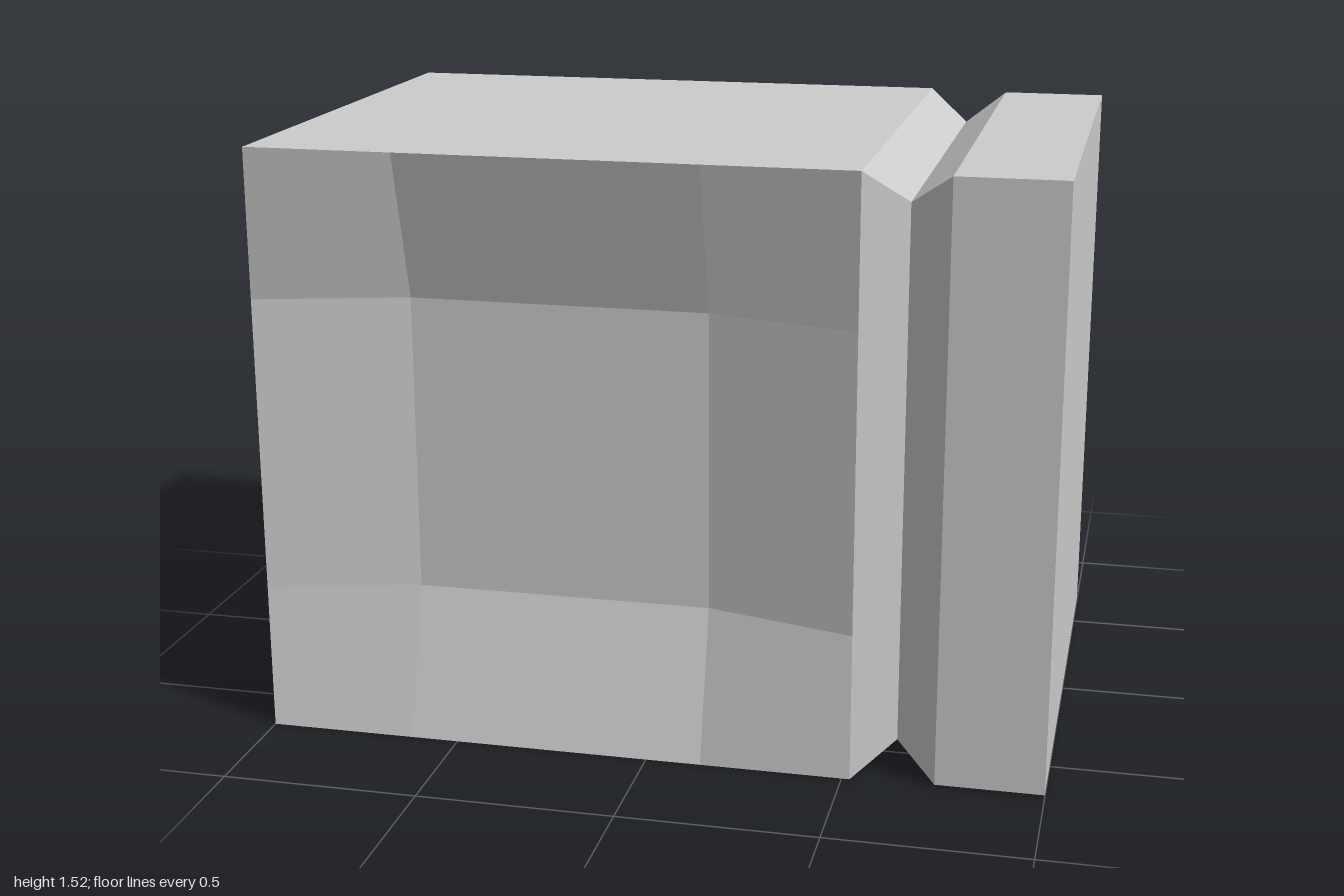
import * as THREE from 'three';

const material = new THREE.MeshStandardMaterial({ color: 0xcccccc });

// Flat-shaded quads, each a list of four corners in counter-clockwise order
function quadMesh(name, quads) {
  const positions = [], normals = [];
  for (const [a, b, c, d] of quads) {
    const n = c.clone().sub(a).cross(d.clone().sub(b)).normalize();
    for (const p of [a, b, c, a, c, d]) {
      positions.push(p.x, p.y, p.z);
      normals.push(n.x, n.y, n.z);
    }
  }
  const geometry = new THREE.BufferGeometry();
  geometry.setAttribute('position', new THREE.Float32BufferAttribute(positions, 3));
  geometry.setAttribute('normal', new THREE.Float32BufferAttribute(normals, 3));
  const mesh = new THREE.Mesh(geometry, material);
  mesh.name = name;
  return mesh;
}

// Rectangular cross-section at x, counter-clockwise seen from +x
function ring({ x, y0, y1, z0, z1 }) {
  return [[y0, z1], [y0, z0], [y1, z0], [y1, z1]].map(([y, z]) => new THREE.Vector3(x, y, z));
}

// Side walls between two cross-sections: bottom, back, top, front
function walls(a, b) {
  return a.map((p, i) => {
    const j = (i + 1) % 4;
    return [p, a[j], b[j], b[i]];
  });
}

export function createModel() {
  const group = new THREE.Group();
  group.name = 'notchedBlock';

  const sections = [
    { x: -1, y0: 0, y1: 1.525, z0: -0.68, z1: 0.68 },
    { x: 0.52, y0: 0, y1: 1.525, z0: -0.68, z1: 0.68 },
    { x: 0.627, y0: 0.085, y1: 1.443, z0: -0.61, z1: 0.605 },
    { x: 0.73, y0: 0.005, y1: 1.52, z0: -0.678, z1: 0.675 },
    { x: 1, y0: 0.005, y1: 1.52, z0: -0.678, z1: 0.675 },
  ];
  const [r0, r1, r2, r3, r4] = sections.map(ring);

  // Main block; its front is the dished panel below
  group.add(quadMesh('mainBlock', [[...r0].reverse(), ...walls(r0, r1).slice(0, 3)]));

  // V-shaped groove running all round
  group.add(quadMesh('groove', [...walls(r1, r2), ...walls(r2, r3)]));

  // End slab
  group.add(quadMesh('endSlab', [...walls(r3, r4), r4]));

  // Dished front: a 3 x 3 grid whose four inner corners are pushed in
  const steps = [0, 0.25, 0.75, 1];
  const inner = (i) => i === 1 || i === 2;
  const point = (i, j) => new THREE.Vector3(
    -1 + 1.52 * steps[i],
    1.525 * steps[j],
    inner(i) && inner(j) ? 0.68 - 0.105 : 0.68,
  );
  const dish = [];
  for (let i = 0; i < 3; i++) {
    for (let j = 0; j < 3; j++) {
      const corners = [point(i, j), point(i + 1, j), point(i + 1, j + 1), point(i, j + 1)];
      // Split corner cells along the diagonal toward the middle
      if ((i === 0 && j === 2) || (i === 2 && j === 0)) corners.push(corners.shift());
      dish.push(corners);
    }
  }
  group.add(quadMesh('dishedFront', dish));

  return group;
}
